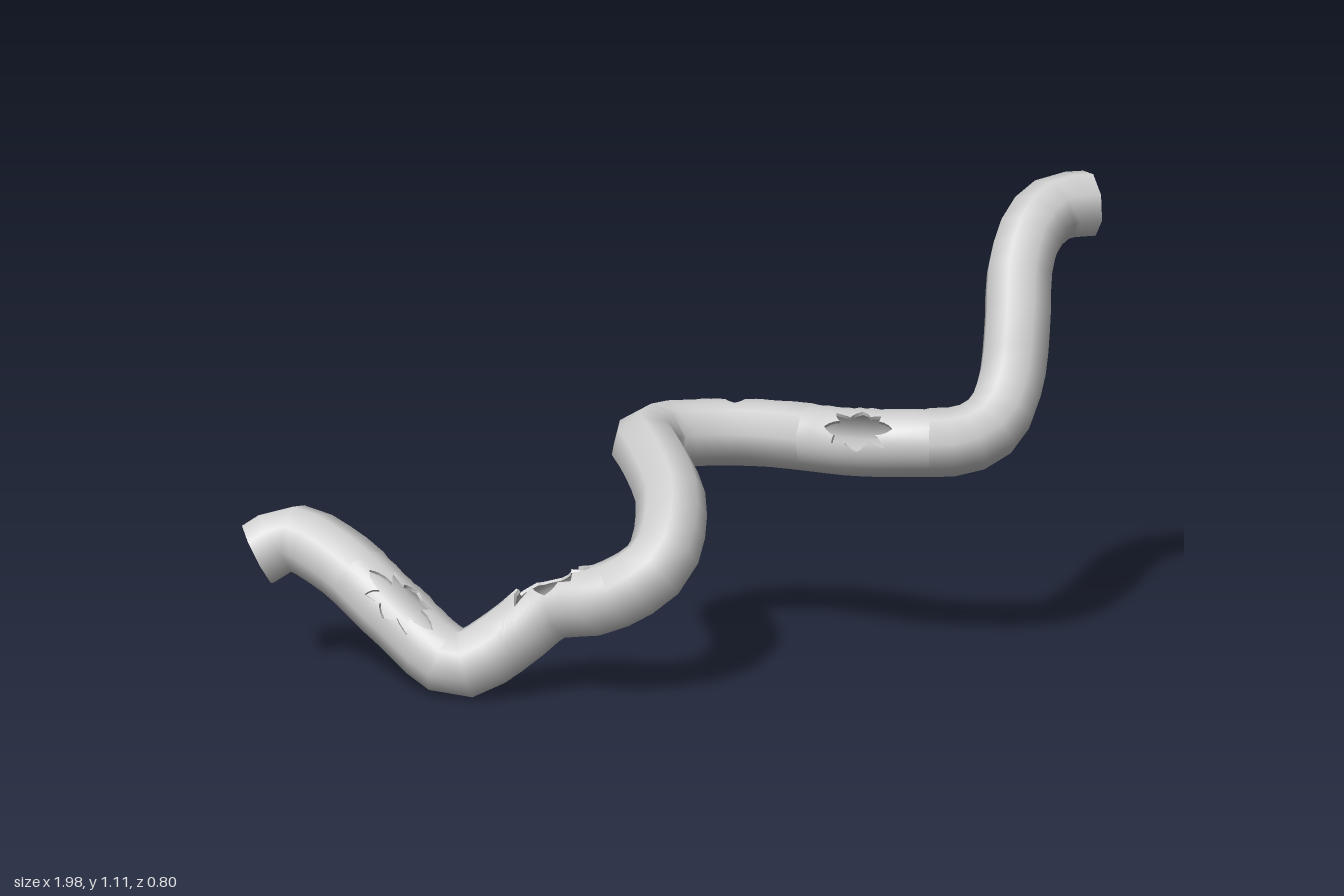
import * as THREE from 'three';

const SECTIONS = 64, SIDES = 8, RADIUS = 0.08, WALL = 0.009;

// Centre line of the bent pipe, from the low end to the high end
const PATH = [
  [-0.945, 0.275, -0.33], [-0.87, 0.312, -0.31], [-0.785, 0.27, -0.2], [-0.7, 0.175, -0.055],
  [-0.6, 0.085, 0.08], [-0.5, 0.135, 0.112], [-0.4, 0.215, 0.145], [-0.31, 0.245, 0.235],
  [-0.2, 0.32, 0.275], [-0.13, 0.43, 0.19], [-0.12, 0.5, 0.08], [-0.1, 0.52, -0.03],
  [-0.03, 0.522, -0.092], [0.08, 0.522, -0.083], [0.2, 0.522, -0.02], [0.28, 0.522, 0.07],
  [0.34, 0.525, 0.16], [0.44, 0.53, 0.24], [0.56, 0.54, 0.305], [0.63, 0.577, 0.312],
  [0.69, 0.66, 0.28], [0.73, 0.78, 0.235], [0.77, 0.905, 0.175], [0.83, 0.995, 0.135],
  [0.9, 1.035, 0.118], [0.982, 1.042, 0.132],
];

// Breaks: point on the centre line, direction faced, half length (sections),
// half width (sides), depth of the jags
const HOLES = [
  { at: [-0.7, 0.175, -0.04], dir: [-0.02, 0.07, 0.05], a: 2.2, b: 1.3, jag: 0.42 },
  { at: [-0.39, 0.22, 0.16], dir: [-0.1, 1, -0.05], a: 2.3, b: 1.45, jag: 0.35 },
  { at: [0.14, 0.522, -0.055], dir: [0.3, 1, -0.55], a: 1.4, b: 0.95, jag: 0.12 },
  { at: [0.36, 0.525, 0.18], dir: [-0.35, 0.6, 0.75], a: 1.65, b: 1.1, jag: 0.38 },
];

const curve = new THREE.CatmullRomCurve3(PATH.map((p) => new THREE.Vector3(...p)));
curve.arcLengthDivisions = 600;
const frames = curve.computeFrenetFrames(SECTIONS, false);
const centres = Array.from({ length: SECTIONS + 1 }, (_, i) => curve.getPointAt(i / SECTIONS));

// Outward direction at a corner of the octagonal section
function radial(i, j) {
  const t = (j / SIDES) * Math.PI * 2;
  return frames.normals[i].clone().multiplyScalar(Math.cos(t))
    .addScaledVector(frames.binormals[i], Math.sin(t));
}

// Position and smooth normal anywhere on the pipe, blended between section corners
function surface(u, v, r) {
  const i = Math.min(Math.floor(u), SECTIONS - 1), j = Math.floor(v);
  const position = new THREE.Vector3(), normal = new THREE.Vector3();
  for (const [di, dj] of [[0, 0], [1, 0], [0, 1], [1, 1]]) {
    const w = (di ? u - i : 1 - u + i) * (dj ? v - j : 1 - v + j);
    const n = radial(i + di, j + dj);
    normal.addScaledVector(n, w);
    position.addScaledVector(centres[i + di], w).addScaledVector(n, r * w);
  }
  return { position, normal: normal.normalize() };
}

// Each break gets a rectangular patch of the grid with a jagged outline inside it
const PER_SIDE = 12, AROUND = PER_SIDE * 4, HALF_U = 3, HALF_V = 2;
const patches = HOLES.map(({ at, dir, a, b, jag }, h) => {
  const p = new THREE.Vector3(...at), d = new THREE.Vector3(...dir);
  let u = 0, best = Infinity;
  for (let s = 0; s <= 640; s++) {
    const dist = curve.getPointAt(s / 640).distanceTo(p);
    if (dist < best) { best = dist; u = (s / 640) * SECTIONS; }
  }
  const f = Math.round(u);
  const angle = Math.atan2(d.dot(frames.binormals[f]), d.dot(frames.normals[f]));
  const v = ((angle / (Math.PI * 2)) * SIDES + SIDES) % SIDES;
  const i0 = f, j0 = Math.round(v);

  const outer = [], edge = [];
  for (let k = 0; k < AROUND; k++) {
    // Square perimeter, counter-clockwise, x around the pipe and y along it
    const s = (k % PER_SIDE) / PER_SIDE * 2 - 1;
    const [x, y] = [[1, s], [-s, 1], [-1, -s], [s, -1]][Math.floor(k / PER_SIDE)];
    outer.push([i0 + y * HALF_U, j0 + x * HALF_V]);
    const tooth = (n) => (n % 2 ? 1 - jag : 1) * (0.9 + 0.1 * Math.sin((n % 16) * 2.3 + h * 1.7));
    const n = Math.floor(k / 3), t = (k % 3) / 3;
    const r = tooth(n) * (1 - t) + tooth(n + 1) * t;
    const q = Math.atan2(y, x);
    edge.push([u + Math.sin(q) * a * r, v + Math.cos(q) * b * r]);
  }
  return { i0, j0, outer, edge };
});

function insidePatch(i, j) {
  return patches.some(({ i0, j0 }) => i >= i0 - HALF_U && i < i0 + HALF_U
    && (j - j0 + HALF_V + SIDES * 2) % SIDES < HALF_V * 2);
}

// Builds a geometry from quads of { position, normal } corners
function fromQuads(quads, keepNormals) {
  const pos = [], nor = [];
  for (const q of quads) {
    for (const k of [0, 1, 2, 0, 2, 3]) {
      pos.push(...q[k].position);
      nor.push(...q[k].normal);
    }
  }
  const g = new THREE.BufferGeometry();
  g.setAttribute('position', new THREE.Float32BufferAttribute(pos, 3));
  if (keepNormals) g.setAttribute('normal', new THREE.Float32BufferAttribute(nor, 3));
  else g.computeVertexNormals();
  return g;
}

// One skin of the pipe, facing outwards or inwards
function skin(r, inward) {
  const quads = [];
  const add = (...corners) => {
    const q = corners.map(([u, v]) => surface(u, v, r));
    if (inward) {
      q.reverse();
      q.forEach((c) => c.normal.negate());
    }
    quads.push(q);
  };
  for (let i = 0; i < SECTIONS; i++) {
    for (let j = 0; j < SIDES; j++) {
      if (!insidePatch(i, j)) add([i, j], [i, j + 1], [i + 1, j + 1], [i + 1, j]);
    }
  }
  const RINGS = 6;
  for (const { outer, edge } of patches) {
    const at = (k, ring) => [0, 1].map((c) =>
      THREE.MathUtils.lerp(edge[k % AROUND][c], outer[k % AROUND][c], ring / RINGS));
    for (let k = 0; k < AROUND; k++) {
      for (let m = 0; m < RINGS; m++) add(at(k, m), at(k, m + 1), at(k + 1, m + 1), at(k + 1, m));
    }
  }
  return fromQuads(quads, true);
}

// Thin strip joining the two skins along a closed outline
function rim(outline) {
  return fromQuads(outline.map((p, k) => {
    const n = outline[(k + 1) % outline.length];
    return [surface(...p, RADIUS), surface(...n, RADIUS),
      surface(...n, RADIUS - WALL), surface(...p, RADIUS - WALL)];
  }), false);
}

export function createModel() {
  const group = new THREE.Group();
  group.name = 'brokenPipe';
  const material = new THREE.MeshStandardMaterial({ color: 0xcccccc });
  const thin = new THREE.MeshStandardMaterial({ color: 0xcccccc, side: THREE.DoubleSide });
  const add = (name, geometry, mat) => {
    const mesh = new THREE.Mesh(geometry, mat);
    mesh.name = name;
    group.add(mesh);
  };
  add('outerWall', skin(RADIUS, false), material);
  add('innerWall', skin(RADIUS - WALL, true), material);
  patches.forEach(({ edge }, n) => add('holeRim' + (n + 1), rim(edge), thin));
  const ring = (i) => Array.from({ length: SIDES }, (_, j) => [i, j]);
  add('lowEndRim', rim(ring(0)), thin);
  add('highEndRim', rim(ring(SECTIONS)), thin);
  return group;
}
